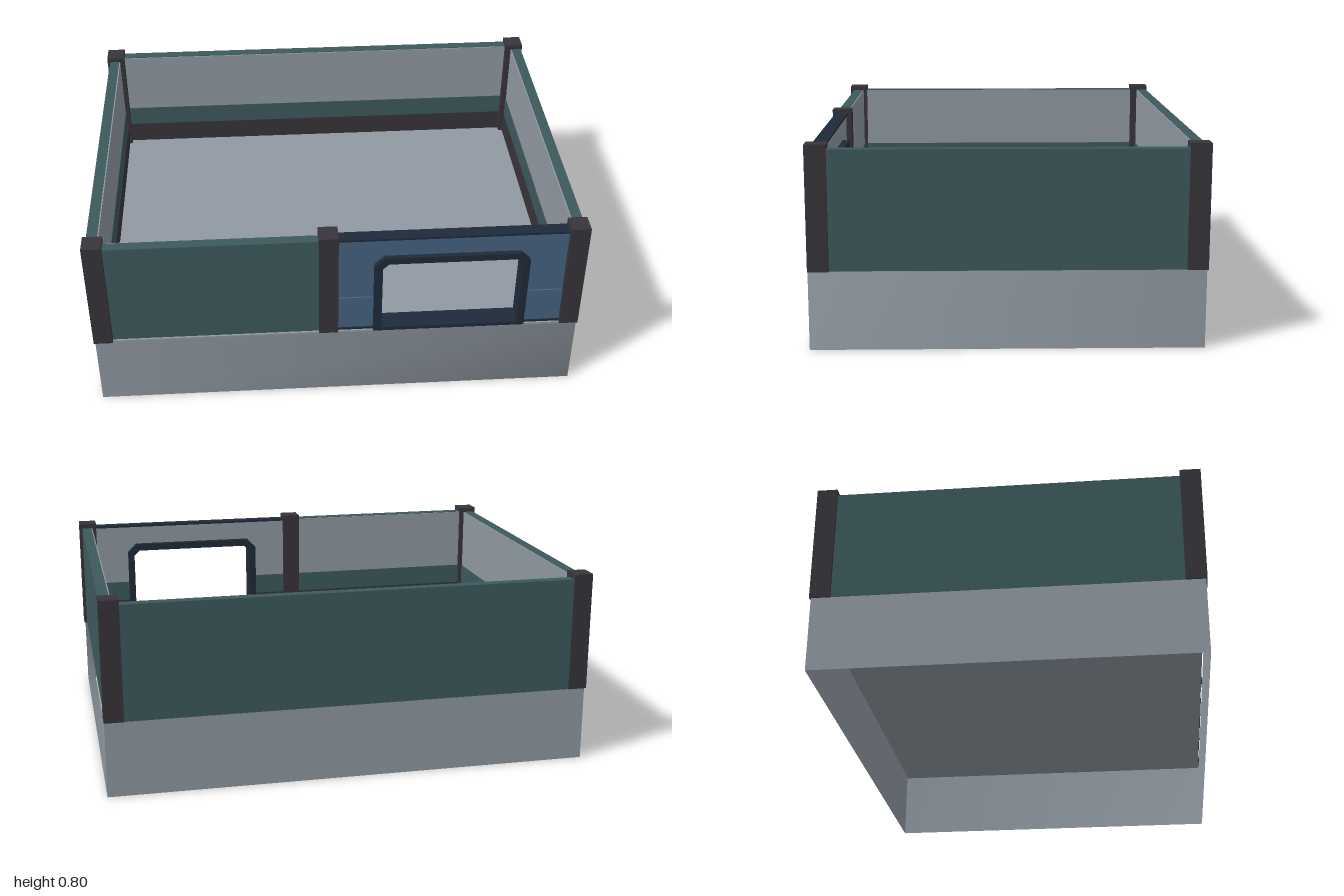
import * as THREE from 'three';

const mat = (name, color, side = THREE.FrontSide) => {
  const m = new THREE.MeshStandardMaterial({ color, side });
  m.name = name;
  return m;
};

export function createModel() {
  const stone = mat('paleGrey', 0x9099a2, THREE.DoubleSide);
  const teal = mat('teal', 0x3c595d);
  const dark = mat('charcoal', 0x37343b);
  const blue = mat('blue', 0x456280);
  const navy = mat('navy', 0x1f2a39);
  const FLOOR = 0.31, TOP = 0.78;

  const model = new THREE.Group();
  model.name = 'walledRoom';

  const add = (parent, name, geometry, material) => {
    const mesh = new THREE.Mesh(geometry, material);
    mesh.name = name;
    parent.add(mesh);
    return mesh;
  };
  // Box given by its limits on each axis
  const box = (parent, name, material, x0, x1, y0, y1, z0, z1) => {
    const g = new THREE.BoxGeometry(x1 - x0, y1 - y0, z1 - z0);
    g.translate((x0 + x1) / 2, (y0 + y1) / 2, (z0 + z1) / 2);
    return add(parent, name, g, material);
  };

  // Foundation: open skirt; runs of corners share normals, so one corner shades softly
  const skirt = (name, corners) => {
    const positions = [], index = [];
    corners.forEach(([x, z], i) => {
      positions.push(x, 0, z, x, FLOOR, z);
      if (i > 0) {
        const a = 2 * (i - 1);
        index.push(a, a + 2, a + 3, a, a + 3, a + 1);
      }
    });
    const g = new THREE.BufferGeometry();
    g.setAttribute('position', new THREE.Float32BufferAttribute(positions, 3));
    g.setIndex(index);
    g.computeVertexNormals();
    add(model, name, g, stone);
  };
  skirt('frontAndLeftFoundation', [[-0.995, 0.76], [0.99, 0.76], [0.99, -0.765]]);
  skirt('backFoundation', [[0.99, -0.765], [-0.995, -0.765]]);
  skirt('rightFoundation', [[-0.995, -0.765], [-0.995, 0.76]]);

  // Floor slab stops short of the right wall
  box(model, 'floor', stone, -0.955, 0.985, 0.3, 0.314, -0.76, 0.755);

  // Inner lining of a wall: plaster, band and skirting board; the room lies towards -z
  const lining = (parent, x0, x1, z) => {
    box(parent, 'plaster', stone, x0, x1, 0.5, TOP - 0.002, z - 0.005, z);
    box(parent, 'wainscotBand', teal, x0, x1, 0.41, 0.5, z - 0.008, z);
    box(parent, 'skirtingBoard', dark, x0, x1, FLOOR, 0.41, z - 0.011, z);
  };

  // Plain walls, built facing +z and then turned into place
  const wall = (name, x0, x1, distance, turn) => {
    const group = new THREE.Group();
    group.name = name;
    box(group, 'outerPanel', teal, x0, x1, FLOOR, TOP, distance - 0.043, distance);
    lining(group, x0, x1, distance - 0.043);
    group.rotation.y = turn;
    model.add(group);
  };
  wall('frontWall', -0.95, -0.05, 0.747, 0);
  wall('backWall', -0.95, 0.95, 0.767, Math.PI);
  wall('leftWall', -0.72, 0.72, 0.985, Math.PI / 2);
  wall('rightWall', -0.72, 0.72, 0.99, -Math.PI / 2);

  // Entrance wall: blue panels either side of the opening
  const entrance = new THREE.Group();
  entrance.name = 'entranceWall';
  model.add(entrance);
  for (const [x0, x1] of [[-0.02, 0.16], [0.755, 0.94]]) {
    box(entrance, 'upperPanel', blue, x0, x1, 0.48, TOP - 0.006, 0.704, 0.738);
    box(entrance, 'lowerPanel', blue, x0, x1, 0.322, 0.48, 0.704, 0.744);
    box(entrance, 'bottomRail', navy, x0, x1, FLOOR, 0.324, 0.704, 0.748);
    lining(entrance, x0, x1, 0.704);
  }
  box(entrance, 'lintelPanel', blue, 0.16, 0.755, 0.67, TOP - 0.006, 0.704, 0.738);
  box(entrance, 'lintelPlaster', stone, 0.16, 0.755, 0.67, TOP - 0.006, 0.699, 0.704);
  box(entrance, 'topRail', navy, -0.02, 0.94, TOP - 0.007, TOP + 0.002, 0.694, 0.748);

  // Opening frame with chamfered top corners
  const outline = (Kind, x0, x1, y0, y1, c) => {
    const path = new Kind();
    path.moveTo(x0, y0);
    path.lineTo(x1, y0);
    path.lineTo(x1, y1 - c);
    path.lineTo(x1 - c, y1);
    path.lineTo(x0 + c, y1);
    path.lineTo(x0, y1 - c);
    path.closePath();
    return path;
  };
  const frame = outline(THREE.Shape, 0.143, 0.77, FLOOR, 0.69, 0.04);
  frame.holes.push(outline(THREE.Path, 0.177, 0.741, 0.327, 0.66, 0.024));
  const frameGeometry = new THREE.ExtrudeGeometry(frame, { depth: 0.088, bevelEnabled: false });
  frameGeometry.translate(0, 0, 0.67);
  add(entrance, 'openingFrame', frameGeometry, navy);

  // Posts at the corners and beside the entrance
  const posts = [
    ['frontRightPost', -0.962, 0.724], ['frontMiddlePost', -0.04, 0.718],
    ['frontLeftPost', 0.958, 0.72], ['backRightPost', -0.962, -0.73], ['backLeftPost', 0.952, -0.73],
  ];
  for (const [name, x, z] of posts) {
    box(model, name, dark, x - 0.039, x + 0.039, FLOOR, 0.8, z - 0.041, z + 0.041);
  }
  return model;
}
